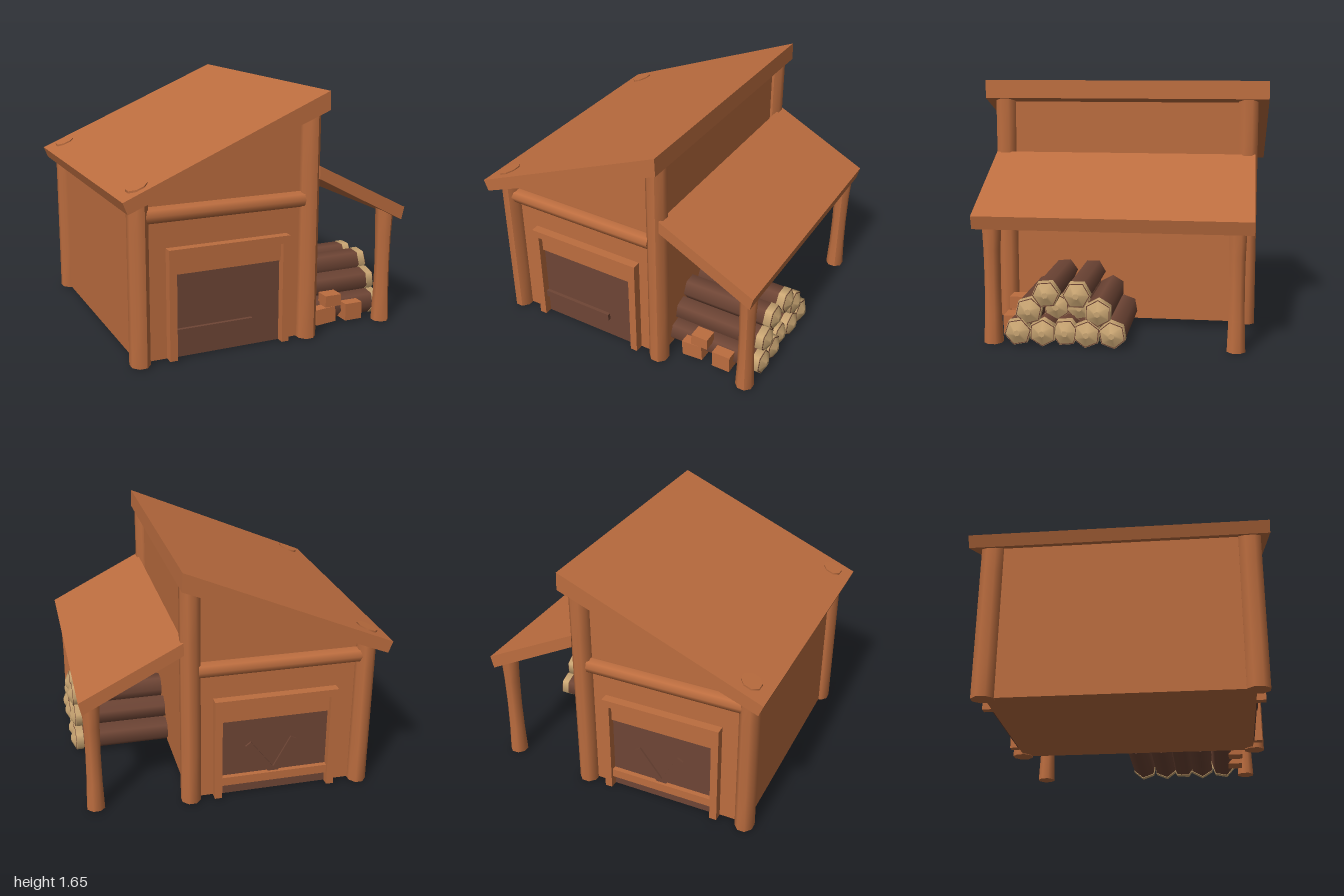
import * as THREE from 'three';

export function createModel() {
  const root = new THREE.Group();
  const mat = (name, color) => Object.assign(new THREE.MeshStandardMaterial({ color }), { name });
  const wood = mat('orange wood', 0xbc6d3f);
  const bark = mat('dark bark', 0x6e4535);
  const cream = mat('cut log end', 0xcaa673);

  const add = (name, geo, m, x = 0, y = 0, z = 0, parent = root) => {
    const mesh = new THREE.Mesh(geo, m);
    mesh.name = name;
    mesh.position.set(x, y, z);
    parent.add(mesh);
    return mesh;
  };
  const box = (name, m, x0, x1, y0, y1, z0, z1, parent) =>
    add(name, new THREE.BoxGeometry(x1 - x0, y1 - y0, z1 - z0), m,
      (x0 + x1) / 2, (y0 + y1) / 2, (z0 + z1) / 2, parent);

  // Side-profile polygon swept along z
  const slab = (name, points, z0, z1) => {
    const shape = new THREE.Shape(points.map(([x, y]) => new THREE.Vector2(x, y)));
    const geo = new THREE.ExtrudeGeometry(shape, { depth: z1 - z0, bevelEnabled: false });
    return add(name, geo, wood, 0, 0, z0);
  };

  // Eight-sided post: optional narrowed waist, and a top cut at a slope
  const post = (name, x, z, w, d, y0, y1, waist = 1, slope = 0) => {
    const r = 0.5 / Math.cos(Math.PI / 8);
    const geo = new THREE.CylinderGeometry(r, r, y1 - y0, 8, 4);
    geo.rotateY(Math.PI / 8);
    geo.scale(w, 1, d);
    const p = geo.attributes.position, half = (y1 - y0) / 2;
    for (let i = 0; i < p.count; i++) {
      const t = p.getY(i) / half;
      const k = waist + (1 - waist) * t * t;
      p.setX(i, p.getX(i) * k);
      p.setZ(i, p.getZ(i) * k);
      if (t > 0.99) p.setY(i, half + p.getX(i) * slope);
    }
    geo.computeVertexNormals();
    return add(name, geo, wood, x, (y0 + y1) / 2, z);
  };

  // Hut body and the two sloping roofs
  slab('hutWalls', [[-0.88, 0.02], [0.3, 0.02], [0.3, 1.54], [-0.88, 1.07]], -0.81, 0.81);
  slab('mainRoof', [[-0.97, 1.01], [0.365, 1.54], [0.36, 1.66], [-1, 1.085]], -0.955, 0.945);
  slab('leanToRoof', [[0.34, 1.09], [0.98, 0.755], [1, 0.84], [0.34, 1.175]], -0.87, 0.88);

  for (const s of [1, -1]) {
    // Corner posts; the low ones break through the roof
    post('lowCornerPost', -0.872, s * 0.82, 0.12, 0.14, 0.015, 1.15, 1, 0.38);
    post('tallCornerPost', 0.292, s * 0.82, 0.125, 0.13, 0.015, 1.56);
    post('leanToPost', 0.917, s * 0.768, 0.115, 0.115, 0.015, 0.82, 0.82, -0.45);

    // End wall, built facing +z and turned in depth for the back
    const end = new THREE.Group();
    end.name = s > 0 ? 'frontDoorway' : 'backDoorway';
    root.add(end);
    const span = (a, b) => (s > 0 ? [a, b] : [-b, -a]);
    const part = (name, m, x0, x1, y0, y1, z0, z1) => box(name, m, ...span(x0, x1), y0, y1, z0, z1, end);
    const beam = add('crossBeam', new THREE.CylinderGeometry(0.053, 0.053, 1.08, 8), wood, s * -0.295, 0.96, 0.825, end);
    beam.rotation.z = Math.PI / 2;
    part('doorPanel', bark, -0.64, 0.09, 0.02, 0.58, 0.81, 0.816);
    part('doorLintel', wood, -0.64, 0.09, 0.57, 0.7, 0.8, 0.835);
    part('frameTop', wood, -0.69, 0.14, 0.69, 0.74, 0.8, 0.87);
    part('frameSide', wood, -0.69, -0.64, 0.02, 0.69, 0.8, 0.87);
    part('frameSide', wood, 0.09, 0.14, 0.02, 0.69, 0.8, 0.87);
    if (s > 0) {
      part('doorRail', bark, -0.64, -0.11, 0.16, 0.21, 0.81, 0.84);
    } else {
      part('doorRail', wood, -0.64, 0.09, 0.1, 0.16, 0.81, 0.85);
      for (const [x, tilt] of [[0.18, 0.65], [0.34, -0.5]]) {
        const stick = add('leaningStick', new THREE.BoxGeometry(0.045, 0.28, 0.02), bark, x, 0.27, 0.82, end);
        stick.rotation.z = tilt;
      }
      end.rotation.y = Math.PI;
    }
  }

  // Stacked firewood: [z, y, end x, twist]
  const logs = [
    [0.6, 0.1, 0.97, 0.2], [0.44, 0.1, 0.97, 0.5], [0.3, 0.1, 0.95, 0.1], [0.16, 0.1, 0.97, 0.4], [0, 0.1, 0.97, 0.7],
    [0.53, 0.235, 0.96, 0.3], [0.38, 0.23, 0.82, 0.6], [0.23, 0.23, 0.82, 0.2], [0.09, 0.235, 0.96, 0.5],
    [0.42, 0.345, 0.96, 0.1], [0.225, 0.345, 0.96, 0],
  ];
  for (const [z, y, x1, twist] of logs) {
    const log = new THREE.Group();
    log.name = 'firewoodLog';
    log.position.set(0, y, z);
    log.rotation.x = twist;
    root.add(log);
    const len = x1 - 0.3;
    const body = new THREE.CylinderGeometry(0.086, 0.086, len, 6);
    body.rotateZ(-Math.PI / 2);
    add('bark', body, bark, 0.3 + len / 2, 0, 0, log);
    // Blunt pointed cut end
    const tip = new THREE.CylinderGeometry(0.02, 0.09, 0.035, 6);
    tip.rotateZ(-Math.PI / 2);
    add('cutEnd', tip, cream, x1 + 0.0125, 0, 0, log);
    const collar = new THREE.CylinderGeometry(0.09, 0.09, 0.05, 6);
    collar.rotateZ(-Math.PI / 2);
    add('cutRim', collar, cream, x1 - 0.03, 0, 0, log);
  }

  // Loose wooden blocks beside the stack
  for (const [x, y, w, h, turn] of [[0.5, 0.09, 0.15, 0.11, 0.08], [0.555, 0.19, 0.12, 0.08, 0], [0.72, 0.09, 0.13, 0.12, 0]]) {
    const block = add('woodBlock', new THREE.BoxGeometry(w, h, 0.1), wood, x, y, 0.69);
    block.rotation.z = turn;
  }
  return root;
}
